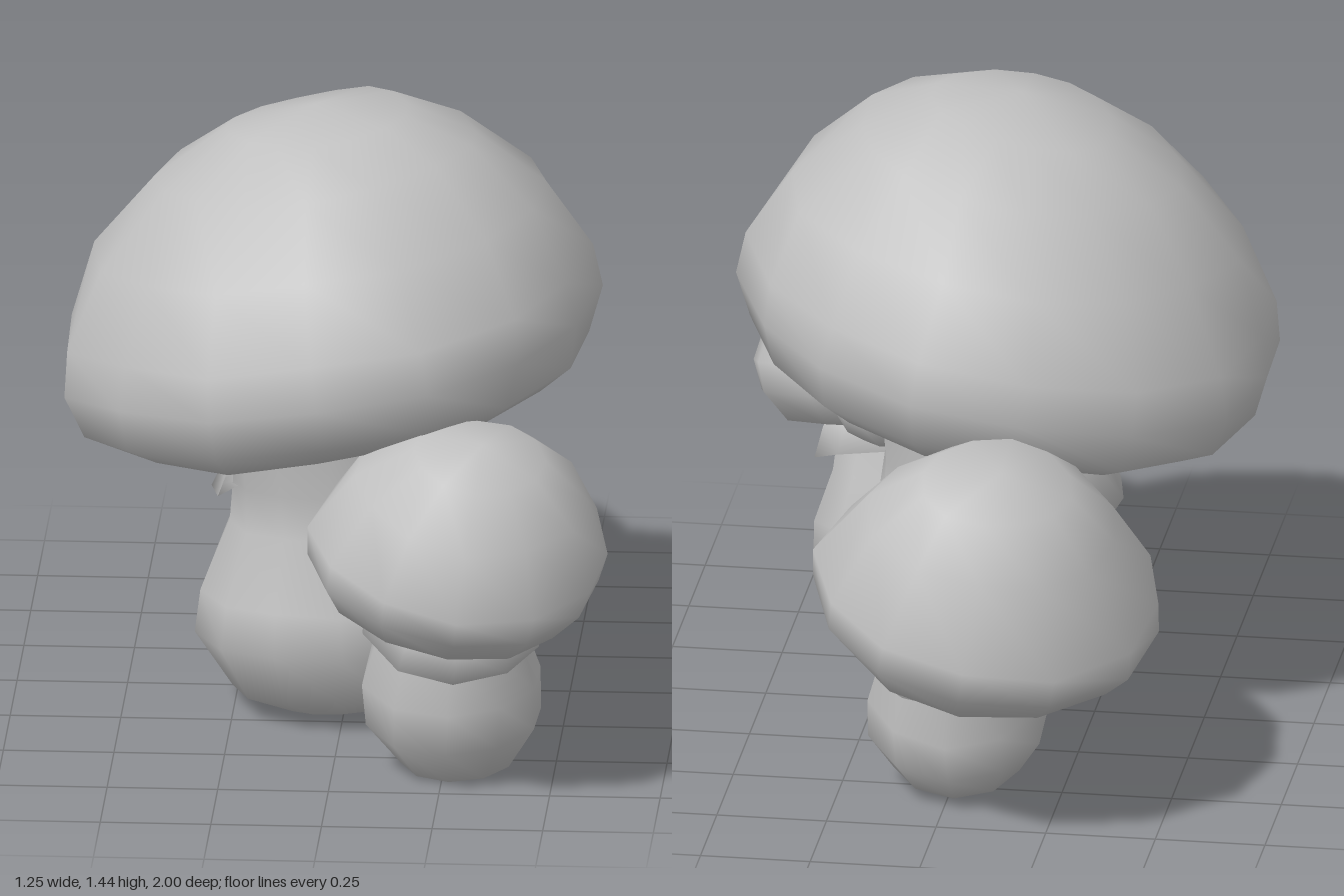
import * as THREE from 'three';
import { mergeVertices } from 'three/addons/utils/BufferGeometryUtils.js';

const grey = new THREE.MeshStandardMaterial({ color: 0xc0c0c0, side: THREE.DoubleSide });
grey.name = 'plain grey';

// Smooth, slightly lumpy low-poly mesh from any geometry
function lumpy(name, geo, amount, seed) {
  geo.deleteAttribute('uv');
  geo.deleteAttribute('normal');
  const p = geo.attributes.position;
  for (let i = 0; i < p.count; i++) {
    const x = p.getX(i), y = p.getY(i), z = p.getZ(i);
    p.setXYZ(i,
      x + amount * Math.sin(11 * z + 9 * y + seed),
      y + amount * 0.6 * Math.sin(10 * x + 12 * z + seed * 2),
      z + amount * Math.sin(12 * x + 8 * y + seed * 3));
  }
  const merged = mergeVertices(geo, 1e-4);
  merged.computeVertexNormals();
  const mesh = new THREE.Mesh(merged, grey);
  mesh.name = name;
  return mesh;
}

// Turned part: profile of [radius, height] from bottom to top
function turned(name, profile, sides, pos, rot, amount, seed, start = 0, arc = Math.PI * 2) {
  const pts = profile.map(([r, y]) => new THREE.Vector2(r, y));
  const mesh = lumpy(name, new THREE.LatheGeometry(pts, sides, start, arc), amount, seed);
  mesh.position.set(...pos);
  mesh.rotation.set(...rot);
  return mesh;
}

// Lets a part drift sideways as it rises
function lean(mesh, dx, dz) {
  mesh.geometry.applyMatrix4(new THREE.Matrix4().makeShear(0, 0, dx, dz, 0, 0));
  mesh.geometry.computeVertexNormals();
  return mesh;
}

function mushroom(name, ...parts) {
  const g = new THREE.Group();
  g.name = name;
  g.add(...parts);
  return g;
}

export function createModel() {
  const model = new THREE.Group();
  model.name = 'mushroomCluster';

  // Large middle mushroom, its stem bulging at the foot
  const stem = turned('largeStem',
    [[0, 0.01], [0.13, 0.01], [0.23, 0.06], [0.3, 0.19], [0.29, 0.29],
      [0.235, 0.45], [0.225, 0.55], [0.235, 0.68], [0.25, 0.82]],
    13, [0.01, 0, 0.11], [0, 0, 0.04], 0.008, 3);
  stem.scale.x = 1.12;
  // Torn skirt remains: a frill behind and a knob on the left
  const skirt = turned('largeSkirt', [[0.22, 0.54], [0.31, 0.49], [0.27, 0.6], [0.22, 0.7]],
    7, [-0.03, 0, 0.11], [0, 0, 0], 0.02, 2, 2.6, 2.3);
  skirt.scale.x = 0.88;
  const knob = lumpy('skirtKnob', new THREE.IcosahedronGeometry(0.1, 1), 0.015, 1);
  knob.position.set(0.24, 0.59, 0.28);
  knob.scale.x = 1.3;
  model.add(mushroom('largeMushroom',
    lean(turned('largeCap',
      [[0, 0], [0.3, -0.03], [0.5, -0.055], [0.585, 0], [0.615, 0.1], [0.6, 0.2],
        [0.52, 0.37], [0.37, 0.52], [0.21, 0.61], [0, 0.64]],
      15, [-0.03, 0.785, 0.15], [-0.02, 0, 0.16], 0.012, 1), 0.1, 0),
    stem, skirt, knob));

  // Small front mushroom, leaning forward
  model.add(mushroom('frontMushroom',
    lean(turned('frontCap',
      [[0, 0], [0.2, -0.02], [0.28, -0.03], [0.33, 0.04], [0.34, 0.11],
        [0.265, 0.25], [0.15, 0.34], [0, 0.37]],
      12, [0.28, 0.475, 0.645], [0.27, 0, -0.1], 0.01, 4), 0.06, 0),
    turned('frontStem',
      [[0, 0.02], [0.13, 0.02], [0.2, 0.12], [0.205, 0.22], [0.17, 0.34], [0.15, 0.48]],
      10, [0.27, 0, 0.535], [0.14, 0, 0], 0.007, 2),
    turned('frontSkirt', [[0.17, 0], [0.21, -0.02], [0.19, 0.05], [0.14, 0.12]],
      10, [0.28, 0.375, 0.62], [0.35, 0, -0.08], 0.01, 5)));

  // Small back mushroom, leaning backward
  model.add(mushroom('backMushroom',
    lean(turned('backCap',
      [[0, 0], [0.25, -0.02], [0.34, -0.03], [0.395, 0.05], [0.395, 0.13],
        [0.285, 0.31], [0.17, 0.41], [0, 0.445]],
      12, [-0.085, 0.43, -0.565], [-0.23, 0, 0.15], 0.01, 6), 0.04, -0.1),
    lean(turned('backStem',
      [[0, 0.02], [0.15, 0.03], [0.205, 0.12], [0.205, 0.21], [0.16, 0.38], [0.14, 0.52]],
      10, [-0.015, 0.03, -0.455], [-0.33, 0, 0], 0.007, 1), 0, 0.13),
    turned('backSkirt', [[0.16, 0], [0.2, -0.02], [0.18, 0.06], [0.14, 0.12]],
      5, [-0.03, 0.36, -0.55], [-0.25, 0, 0], 0.008, 3, 2.2, 1.9)));

  return model;
}
